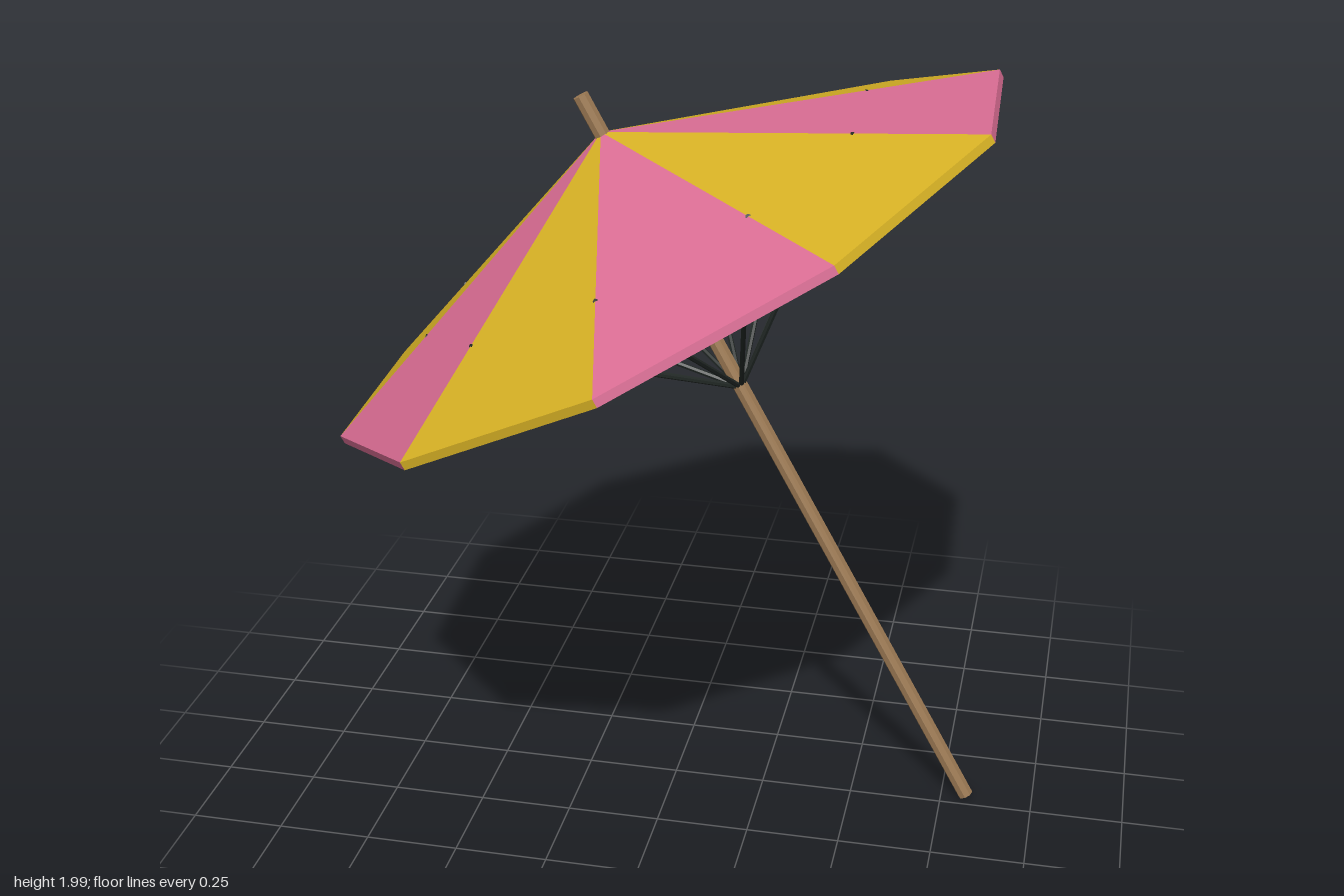
import * as THREE from 'three';

const SIDES = 10;
const RADIUS = 0.965;   // rim radius
const APEX = 0.357;     // canopy height above the rim plane
const THICK = 0.022;    // canopy thickness along the pole
const HUB = -0.405;     // where the stretchers meet the pole

function material(name, color) {
  const m = new THREE.MeshStandardMaterial({ color });
  m.name = name;
  return m;
}

// Point on the ridge between apex (t = 0) and rim corner k (t = 1)
function ridge(k, t, drop = 0) {
  const a = (k + 0.5) * Math.PI * 2 / SIDES;
  return new THREE.Vector3(
    Math.cos(a) * RADIUS * t, APEX * (1 - t) - drop, Math.sin(a) * RADIUS * t);
}

// One canopy panel: top face, underside and rim strip
function panelGeometry(k) {
  const top = ridge(k, 0), a = ridge(k - 1, 1), b = ridge(k, 1);
  const under = ridge(k, 0, THICK), c = ridge(k - 1, 1, THICK), d = ridge(k, 1, THICK);
  const corners = [top, b, a, under, c, d, a, b, d, a, d, c];
  const geometry = new THREE.BufferGeometry().setFromPoints(corners);
  geometry.computeVertexNormals();
  return geometry;
}

// Straight rod between two points
function rod(name, from, to, radius, sides, mat) {
  const dir = to.clone().sub(from);
  const geometry = new THREE.CylinderGeometry(radius, radius, dir.length(), sides).toNonIndexed();
  geometry.computeVertexNormals();
  const mesh = new THREE.Mesh(geometry, mat);
  mesh.name = name;
  mesh.position.copy(from).add(to).multiplyScalar(0.5);
  mesh.quaternion.setFromUnitVectors(new THREE.Vector3(0, 1, 0), dir.normalize());
  return mesh;
}

export function createModel() {
  const pink = material('pink fabric', 0xdc6e95);
  const yellow = material('yellow fabric', 0xd9b325);
  const wood = material('wood', 0xa07d56);
  const metal = material('dark metal', 0x232a27);

  // Everything is built upright around the rim centre, then leaned over
  const parasol = new THREE.Group();
  parasol.name = 'parasol';
  parasol.rotation.z = THREE.MathUtils.degToRad(28.6);

  // Pole
  parasol.add(rod('pole', new THREE.Vector3(0, -1.757, 0), new THREE.Vector3(0, 0.462, 0), 0.021, 8, wood));

  // Canopy panels in alternating colours
  const canopy = new THREE.Group();
  canopy.name = 'canopy';
  for (let k = 0; k < SIDES; k++) {
    const panel = new THREE.Mesh(panelGeometry(k), k % 2 ? yellow : pink);
    panel.name = 'canopyPanel';
    canopy.add(panel);
  }
  parasol.add(canopy);

  // Stretchers from the pole to each ridge
  const stretchers = new THREE.Group();
  stretchers.name = 'stretchers';
  const hub = new THREE.Vector3(0, HUB, 0);
  for (let k = 0; k < SIDES; k++) {
    stretchers.add(rod('stretcher', hub, ridge(k, 0.667), 0.007, 6, metal));
  }
  parasol.add(stretchers);

  const model = new THREE.Group();
  model.name = 'beachParasol';
  parasol.position.set(-0.022, 1.557, 0);
  const turn = new THREE.Group();
  turn.name = 'turnedParasol';
  turn.rotation.y = THREE.MathUtils.degToRad(2.5);
  turn.add(parasol);
  model.add(turn);
  return model;
}
